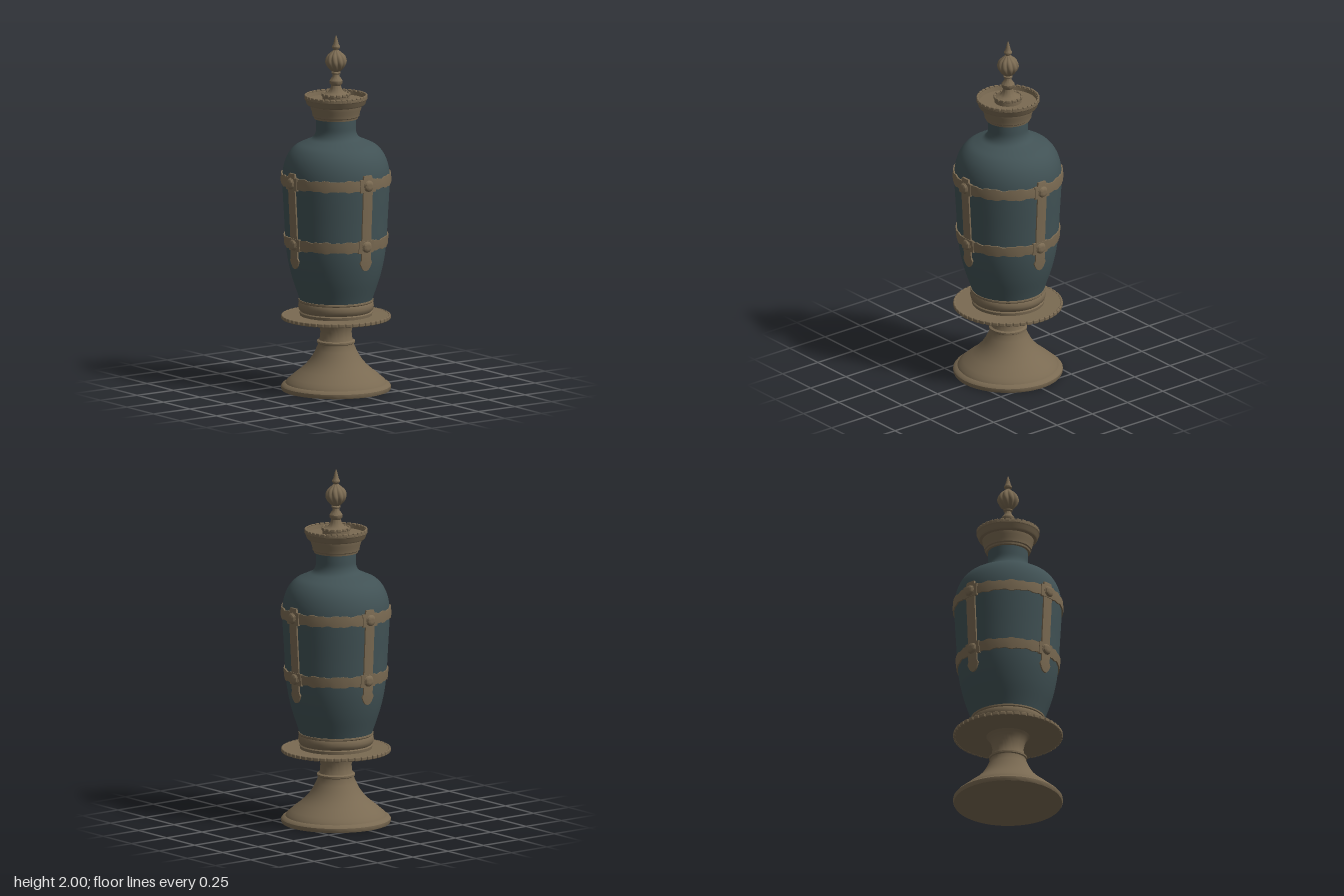
import * as THREE from 'three';
import { toCreasedNormals } from 'three/addons/utils/BufferGeometryUtils.js';
import { RoundedBoxGeometry } from 'three/addons/geometries/RoundedBoxGeometry.js';

const bronze = new THREE.MeshStandardMaterial({ color: 0x7a6a52 });
bronze.name = 'bronze';
const teal = new THREE.MeshStandardMaterial({ color: 0x415255 });
teal.name = 'teal glaze';

const vecs = (pts) => pts.map(([r, y]) => new THREE.Vector2(r, y));

// Body silhouette, sampled so that bands and straps can follow it
const bodyCurve = new THREE.SplineCurve(vecs([
  [0.196, 0.49], [0.212, 0.54], [0.245, 0.64], [0.268, 0.74], [0.28, 0.84], [0.288, 0.98],
  [0.296, 1.12], [0.298, 1.2], [0.289, 1.27], [0.265, 1.33], [0.225, 1.375], [0.17, 1.402],
  [0.13, 1.422], [0.112, 1.455], [0.11, 1.5], [0.11, 1.55],
]));
const bodyPoints = bodyCurve.getPoints(60);
function bodyRadius(y) {
  for (let i = 1; i < bodyPoints.length; i++) {
    const a = bodyPoints[i - 1], b = bodyPoints[i];
    if (y <= b.y) return a.x + (b.x - a.x) * (y - a.y) / (b.y - a.y);
  }
  return 0.11;
}

export function createModel() {
  const model = new THREE.Group();
  model.name = 'urn';

  function add(name, geometry, material = bronze, parent = model) {
    const mesh = new THREE.Mesh(geometry, material);
    mesh.name = name;
    parent.add(mesh);
    return mesh;
  }
  const lathe = (name, pts, material = bronze, segments = 64) =>
    add(name, toCreasedNormals(new THREE.LatheGeometry(vecs(pts), segments), 0.6), material);

  // Ring of small rounded beads
  function beads(name, count, radius, y, height, depth, fill = 0.85) {
    const ring = new THREE.Group();
    ring.name = name;
    const geo = new RoundedBoxGeometry(2 * Math.PI * radius / count * fill, height, depth, 2, depth * 0.4);
    for (let i = 0; i < count; i++) {
      const a = i / count * Math.PI * 2;
      const bead = add('bead', geo, bronze, ring);
      bead.position.set(Math.sin(a) * radius, y, Math.cos(a) * radius);
      bead.rotation.y = a;
    }
    model.add(ring);
  }

  // Flared foot and stem
  lathe('foot', [
    [0, 0], [0.3, 0], [0.304, 0.008], [0.304, 0.024], [0.296, 0.034], [0.28, 0.04], [0.272, 0.054],
    [0.25, 0.072], [0.23, 0.09], [0.2, 0.113], [0.172, 0.138], [0.148, 0.165], [0.128, 0.195],
    [0.113, 0.225], [0.1, 0.255], [0.1, 0.262], [0.106, 0.266], [0.106, 0.276], [0.094, 0.282],
    [0.088, 0.3], [0.087, 0.33], [0.092, 0.355], [0.1, 0.378], [0.113, 0.395], [0.125, 0.41],
  ]);

  // Plate with beaded rim
  lathe('plate', [[0.08, 0.404], [0.296, 0.404], [0.296, 0.42], [0.18, 0.422]]);
  beads('plateRim', 48, 0.297, 0.412, 0.022, 0.014);

  // Collar holding the body
  lathe('lowerCollar', [
    [0.185, 0.418], [0.2, 0.42], [0.202, 0.438], [0.196, 0.444], [0.206, 0.455], [0.21, 0.472],
    [0.208, 0.49], [0.204, 0.498], [0.208, 0.503], [0.207, 0.512], [0.19, 0.516],
  ]);

  add('body', new THREE.LatheGeometry(bodyPoints, 64), teal);

  // Horizontal bands with slightly uneven edges
  for (const [name, y] of [['upperBand', 1.195], ['lowerBand', 0.847]]) {
    const h = 0.029;
    const ring = [[-h, -0.004], [-h, 0.008], [0, 0.009], [h, 0.008], [h, -0.004], [-h, -0.004]]
      .map(([dy, out]) => [bodyRadius(y + dy) + out, y + dy]);
    const geo = new THREE.LatheGeometry(vecs(ring), 96);
    const pos = geo.attributes.position;
    for (let i = 0; i < pos.count; i++) {
      const a = Math.atan2(pos.getX(i), pos.getZ(i));
      const edge = (pos.getY(i) - y) / h;
      pos.setY(i, pos.getY(i) + edge * 0.003 * (Math.sin(a * 13) + Math.sin(a * 29)));
    }
    add(name, toCreasedNormals(geo, 0.6));
  }

  // Plate bent round the body; width(t) is the half width from bottom (0) to top (1)
  function bentPlate(y0, y1, inner, outer, width, lift = () => 0) {
    const geo = new THREE.BoxGeometry(1, 1, 1, 6, 28, 1);
    const pos = geo.attributes.position;
    for (let i = 0; i < pos.count; i++) {
      const t = pos.getY(i) + 0.5;
      const y = y0 + (y1 - y0) * t;
      const x = pos.getX(i) * 2 * width(t);
      const r = bodyRadius(y) + (pos.getZ(i) > 0 ? outer : inner) + lift(t);
      pos.setXYZ(i, x, y, Math.sqrt(r * r - x * x));
    }
    geo.computeVertexNormals();
    return geo;
  }
  const strapGeo = bentPlate(0.87, 1.17, -0.004, 0.009, () => 0.031);
  const squareGeo = bentPlate(1.157, 1.229, -0.004, 0.013, () => 0.05);
  const tabGeo = bentPlate(1.22, 1.25, -0.004, 0.012, (t) => 0.034 - 0.008 * t);
  const lowerSquareGeo = bentPlate(0.812, 0.882, -0.004, 0.013, () => 0.05);
  const tipGeo = bentPlate(0.71, 0.82, 0.004, 0.013,
    (t) => t < 0.42 ? 0.004 + 0.036 * Math.sqrt(t / 0.42) : 0.031 + 0.009 * Math.max(0, 1 - (t - 0.42) / 0.15),
    (t) => 0.008 * (1 - t));
  const studGeo = toCreasedNormals(new THREE.LatheGeometry(vecs([
    [0.032, -0.006], [0.032, 0.006], [0.028, 0.009], [0.026, 0.014], [0.02, 0.018], [0.01, 0.02], [0, 0.0205],
  ]), 20), 0.6);
  studGeo.rotateX(Math.PI / 2);

  // Straps on all four sides
  for (let i = 0; i < 4; i++) {
    const side = new THREE.Group();
    side.name = 'strapAssembly';
    side.rotation.y = i * Math.PI / 2;
    add('strap', strapGeo, bronze, side);
    add('upperSquare', squareGeo, bronze, side);
    add('upperTab', tabGeo, bronze, side);
    add('lowerSquare', lowerSquareGeo, bronze, side);
    add('strapTip', tipGeo, bronze, side);
    for (const y of [1.193, 0.847])
      add('stud', studGeo, bronze, side).position.set(0, y, bodyRadius(y) + 0.008);
    model.add(side);
  }

  // Mouth collar and dished lid
  lathe('lid', [
    [0.1, 1.527], [0.122, 1.53], [0.124, 1.54], [0.13, 1.545], [0.133, 1.565], [0.14, 1.585],
    [0.143, 1.603], [0.158, 1.607], [0.164, 1.615], [0.17, 1.635], [0.175, 1.642], [0.175, 1.655],
    [0.162, 1.655], [0.158, 1.635], [0, 1.635],
  ]);
  beads('lidRim', 34, 0.169, 1.653, 0.022, 0.013);

  // Finial base
  lathe('finialBase', [
    [0.076, 1.63], [0.076, 1.662], [0.066, 1.67], [0.05, 1.674], [0.038, 1.686], [0.03, 1.703],
    [0.027, 1.715], [0.036, 1.728], [0.037, 1.742], [0.03, 1.752], [0.02, 1.766], [0.018, 1.778],
    [0.026, 1.784], [0.026, 1.79], [0.015, 1.796],
  ], bronze, 32);
  beads('finialBeads', 14, 0.075, 1.664, 0.018, 0.012, 0.75);

  // Twisted, fluted bulb
  const bulb = new THREE.LatheGeometry(new THREE.SplineCurve(vecs([
    [0.016, 1.79], [0.036, 1.808], [0.052, 1.832], [0.056, 1.855], [0.047, 1.882], [0.026, 1.903], [0.012, 1.915],
  ])).getPoints(18), 80);
  const pos = bulb.attributes.position;
  for (let i = 0; i < pos.count; i++) {
    const y = pos.getY(i);
    const a = Math.atan2(pos.getX(i), pos.getZ(i));
    const k = 0.92 + 0.16 * Math.abs(Math.cos(a * 5 + (y - 1.79) * 12));
    pos.setXYZ(i, pos.getX(i) * k, y, pos.getZ(i) * k);
  }
  bulb.computeVertexNormals();
  add('finialBulb', bulb);

  // Pointed tip
  lathe('finialTip', [
    [0.012, 1.908], [0.013, 1.918], [0.022, 1.926], [0.023, 1.934], [0.016, 1.946],
    [0.011, 1.965], [0.006, 1.985], [0, 2],
  ], bronze, 20);

  return model;
}
